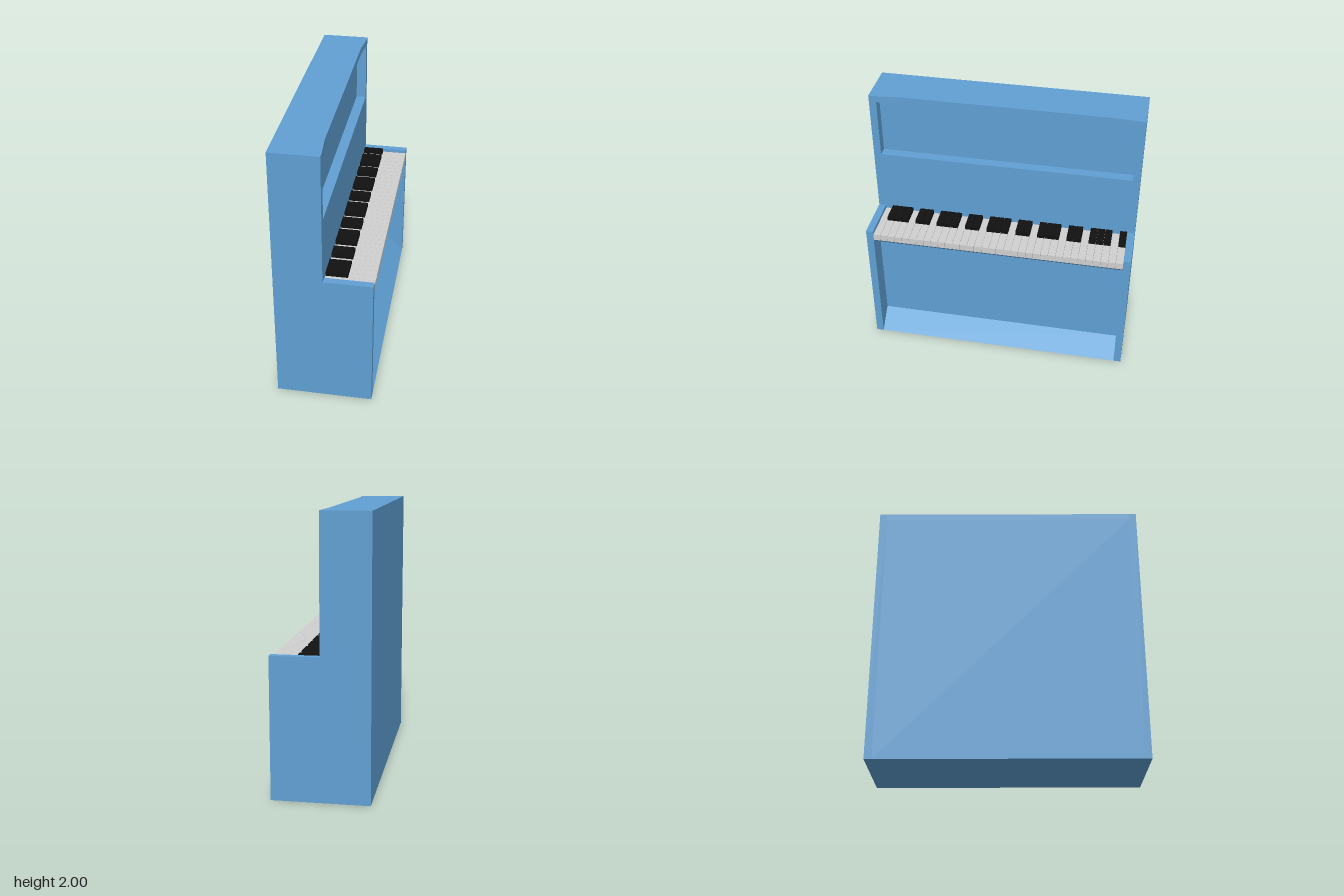
import * as THREE from 'three';

const material = (name, color) => {
  const m = new THREE.MeshStandardMaterial({ color });
  m.name = name;
  return m;
};

// Closed outline in x and y, extruded along z from z0 to z1
function extrude(points, z0, z1) {
  const shape = new THREE.Shape(points.map(([x, y]) => new THREE.Vector2(x, y)));
  const geometry = new THREE.ExtrudeGeometry(shape, { depth: z1 - z0, bevelEnabled: false });
  return geometry.translate(0, 0, z0);
}

export function createModel() {
  const piano = new THREE.Group();
  piano.name = 'uprightPiano';

  const blue = material('blue case', 0x60a0d3);
  const white = material('white keys', 0xd0d0d0);
  const black = material('black keys', 0x111111);

  const add = (name, geometry, mat, parent = piano) => {
    const mesh = new THREE.Mesh(geometry, mat);
    mesh.name = name;
    parent.add(mesh);
    return mesh;
  };

  const BACK = -0.35, FRONT = 0.35, INNER = 0.945;

  // L-shaped side panels
  const side = [[BACK, 0], [FRONT, 0], [FRONT, 1.025], [0, 1.025], [0, 2], [BACK, 2]];
  add('leftSidePanel', extrude(side, INNER, 1), blue);
  add('rightSidePanel', extrude(side, -1, -INNER), blue);

  // Body with sloped plinth, sloped key bed and recessed upper and lower panels
  const body = [
    [BACK, 0], [FRONT, 0], [0.205, 0.135], [0.205, 0.82], [FRONT, 0.95], [0, 0.95],
    [0, 1.5], [-0.075, 1.5], [-0.075, 1.95], [BACK, 1.95],
  ];
  add('body', extrude(body, -INNER, INNER), blue);

  // Lid whose front edge steps back slightly in the middle
  const lid = [
    [BACK, -INNER], [0, -INNER], [-0.015, -0.77],
    [-0.015, 0.77], [0, INNER], [BACK, INNER],
  ];
  add('lid', extrude(lid, 1.95, 2).rotateX(-Math.PI / 2), blue);

  // Keyboard: black keys in groups of three and two
  const keyboard = new THREE.Group();
  keyboard.name = 'keyboard';
  piano.add(keyboard);
  const COUNT = 34, PITCH = (2 * INNER) / COUNT;
  const whiteKey = new THREE.BoxGeometry(0.35, 0.05, PITCH - 0.002);
  const blackKey = new THREE.BoxGeometry(0.157, 0.03, PITCH - 0.003);
  for (let i = 0; i < COUNT; i++) {
    const z = INNER - (i + 0.5) * PITCH;
    add('whiteKey', whiteKey, white, keyboard).position.set(0.175, 0.975, z);
    if ([1, 2, 3, 5, 6].includes(i % 7)) {
      add('blackKey', blackKey, black, keyboard).position.set(0.0785, 1.015, z);
    }
  }

  return piano;
}
